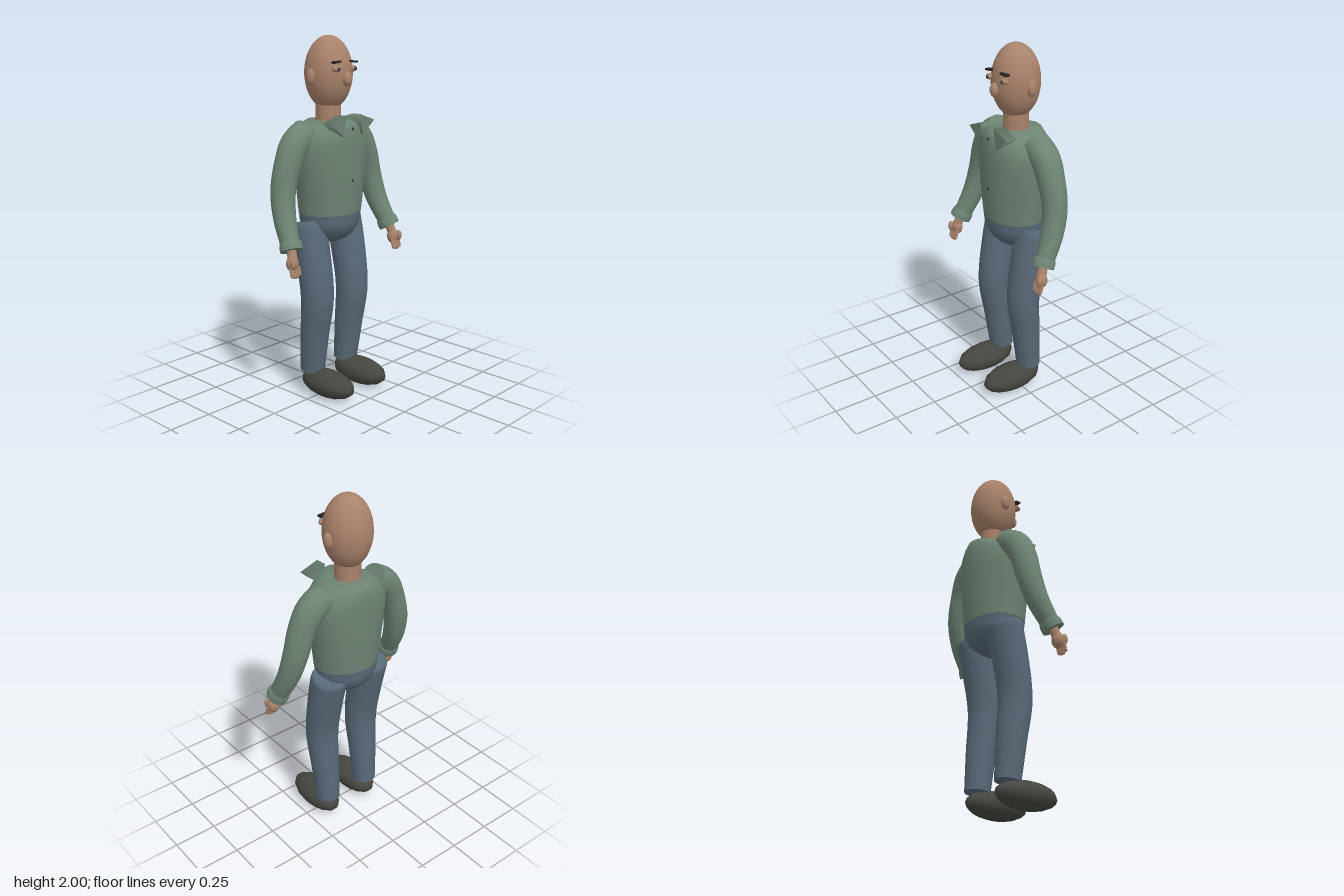
import * as THREE from 'three';
import { toCreasedNormals } from 'three/addons/utils/BufferGeometryUtils.js';

const mat = (name, color) => {
  const m = new THREE.MeshStandardMaterial({ color });
  m.name = name;
  return m;
};

// Skin closed rings { c, u, v } (u x v points along the loft) and cap both ends
function loft(rings, sides) {
  const pos = [], idx = [], n = rings.length;
  for (const { c, u, v } of rings) {
    for (let i = 0; i < sides; i++) {
      const a = (i / sides) * Math.PI * 2;
      const p = c.clone().addScaledVector(u, Math.cos(a)).addScaledVector(v, Math.sin(a));
      pos.push(p.x, p.y, p.z);
    }
  }
  pos.push(...rings[0].c.toArray(), ...rings[n - 1].c.toArray());
  const start = n * sides, end = start + 1, last = (n - 1) * sides;
  for (let i = 0; i < sides; i++) {
    const j = (i + 1) % sides;
    for (let r = 0; r < n - 1; r++) {
      const a = r * sides, b = a + sides;
      idx.push(a + i, a + j, b + j, a + i, b + j, b + i);
    }
    idx.push(start, j, i, end, last + i, last + j);
  }
  const g = new THREE.BufferGeometry();
  g.setAttribute('position', new THREE.Float32BufferAttribute(pos, 3));
  g.setIndex(idx);
  return toCreasedNormals(g, 0.8);
}

// Limb along points [x, y, z, radius], mirrored by side
function limb(points, side, steps = 24) {
  const curve = new THREE.CatmullRomCurve3(points.map(([x, y, z]) => new THREE.Vector3(x * side, y, z)));
  const radii = new THREE.CatmullRomCurve3(points.map((p, i) => new THREE.Vector3(p[3], i, 0)));
  const frames = curve.computeFrenetFrames(steps);
  const rings = [];
  for (let i = 0; i <= steps; i++) {
    const r = radii.getPoint(i / steps).x;
    rings.push({
      c: curve.getPoint(i / steps),
      u: frames.normals[i].clone().multiplyScalar(r),
      v: frames.binormals[i].clone().multiplyScalar(r),
    });
  }
  return loft(rings, 24);
}

// Upright body from rows [y, half width, half depth]
function body(rows, z) {
  return loft(rows.map(([y, rx, rz]) => ({
    c: new THREE.Vector3(0, y, z),
    u: new THREE.Vector3(0, 0, rz),
    v: new THREE.Vector3(rx, 0, 0),
  })), 32);
}

export function createModel() {
  const skin = mat('skin', 0xa9836b);
  const shirt = mat('shirt', 0x6d8474);
  const jeans = mat('jeans', 0x586977);
  const leather = mat('shoe leather', 0x45463f);
  const hair = mat('brow hair', 0x2a2422);
  const iris = mat('iris', 0x4c5a60);

  const model = new THREE.Group();
  model.name = 'standingMan';
  const add = (name, geometry, material, x = 0, y = 0, z = 0) => {
    const m = new THREE.Mesh(geometry, material);
    m.name = name;
    m.position.set(x, y, z);
    model.add(m);
    return m;
  };
  const ball = (name, material, p, r, w = 20, h = 14) => {
    const m = add(name, new THREE.SphereGeometry(1, w, h), material, ...p);
    m.scale.set(...r);
    return m;
  };

  // Head and neck
  ball('head', skin, [0, 1.8, -0.068], [0.131, 0.2, 0.133], 32, 24);
  ball('nose', skin, [0, 1.77, 0.068], [0.025, 0.038, 0.027]);
  add('neck', new THREE.CylinderGeometry(0.07, 0.072, 0.16, 14), skin, 0, 1.56, -0.07);

  // Torso, waistband and hips
  add('torso', body([
    [1.04, 0.191, 0.158], [1.12, 0.199, 0.166], [1.25, 0.214, 0.173], [1.36, 0.228, 0.176],
    [1.42, 0.229, 0.176], [1.47, 0.212, 0.174], [1.51, 0.172, 0.169], [1.535, 0.12, 0.162], [1.545, 0.085, 0.15],
  ], -0.059), shirt);
  add('waistband', body([[1.0, 0.185, 0.155], [1.04, 0.188, 0.158]], -0.059), jeans);
  ball('hips', jeans, [0, 1.01, -0.06], [0.182, 0.148, 0.153], 28, 18);

  // Shirt buttons
  for (const [y, z] of [[1.51, 0.11], [1.23, 0.112]]) ball('button', hair, [0, y, z], [0.006, 0.008, 0.004], 10, 8);

  for (const s of [1, -1]) {
    const side = s > 0 ? 'left' : 'right';

    // Face details
    ball(side + 'Ear', skin, [0.131 * s, 1.783, -0.074], [0.022, 0.044, 0.028]);
    ball(side + 'Eyelid', skin, [0.065 * s, 1.825, 0.051], [0.024, 0.017, 0.021]);
    ball(side + 'Iris', iris, [0.065 * s, 1.825, 0.068], [0.012, 0.011, 0.006], 14, 10);
    ball(side + 'Pupil', hair, [0.065 * s, 1.825, 0.073], [0.006, 0.006, 0.003], 12, 8);
    const brow = add(side + 'Brow', new THREE.BoxGeometry(0.05, 0.01, 0.03), hair, 0.064 * s, 1.862, 0.05);
    brow.rotation.z = -0.1 * s;

    // Collar wing
    const wing = new THREE.CylinderGeometry(0.07, 0.07, 0.066, 3);
    wing.rotateX(Math.PI / 2).rotateZ(Math.PI / 2 + (10 * Math.PI) / 180 - Math.PI);
    wing.computeBoundingBox();
    const flap = add(side + 'Collar', wing, shirt, 0.1 * s, 1.535, 0.083);
    // Turn so the corners sit at 10, 130 and 250 degrees, mirrored for the other side
    const p = wing.attributes.position;
    const corner = Math.atan2(p.getY(0), p.getX(0));
    const target = (s > 0 ? 10 : 170) * Math.PI / 180;
    wing.rotateZ(target - corner);
    flap.scale.y = 0.93;

    // Sleeve and cuff
    add(side + 'Sleeve', limb([
      [0.16, 1.49, -0.08, 0.08], [0.245, 1.437, -0.078, 0.08], [0.302, 1.34, -0.074, 0.074],
      [0.345, 1.2, -0.07, 0.068], [0.37, 1.06, -0.035, 0.061], [0.394, 0.915, 0.036, 0.05],
    ], s), shirt);
    add(side + 'Cuff', limb([
      [0.388, 0.945, 0.022, 0.056], [0.391, 0.929, 0.03, 0.061], [0.397, 0.9, 0.044, 0.061],
    ], s, 4), shirt);

    // Hand with four fingers and a thumb
    add(side + 'Wrist', limb([[0.394, 0.92, 0.036, 0.026], [0.405, 0.86, 0.058, 0.026]], s, 4), skin);
    ball(side + 'Palm', skin, [0.408 * s, 0.838, 0.06], [0.036, 0.044, 0.03]);
    for (let i = 0; i < 4; i++) {
      const finger = add(side + 'Finger', new THREE.CapsuleGeometry(0.0095, 0.04, 4, 10), skin,
        (0.383 + i * 0.018) * s, 0.794 + (i % 3 ? -0.004 : 0.004), 0.083);
      finger.rotation.x = -0.25;
    }
    ball(side + 'Thumb', skin, [0.43 * s, 0.842, 0.088], [0.017, 0.03, 0.018], 14, 10);

    // Trouser leg
    add(side + 'Leg', limb([
      [0.142, 0.995, -0.095, 0.094], [0.142, 0.975, -0.09, 0.101], [0.143, 0.8, -0.052, 0.098],
      [0.142, 0.58, -0.022, 0.093], [0.14, 0.35, -0.045, 0.081], [0.137, 0.13, -0.067, 0.069],
    ], s, 30), jeans);

    // Shoe
    ball(side + 'Shoe', leather, [0.134 * s, 0.076, 0.051], [0.092, 0.076, 0.187], 14, 10);
  }
  return model;
}
